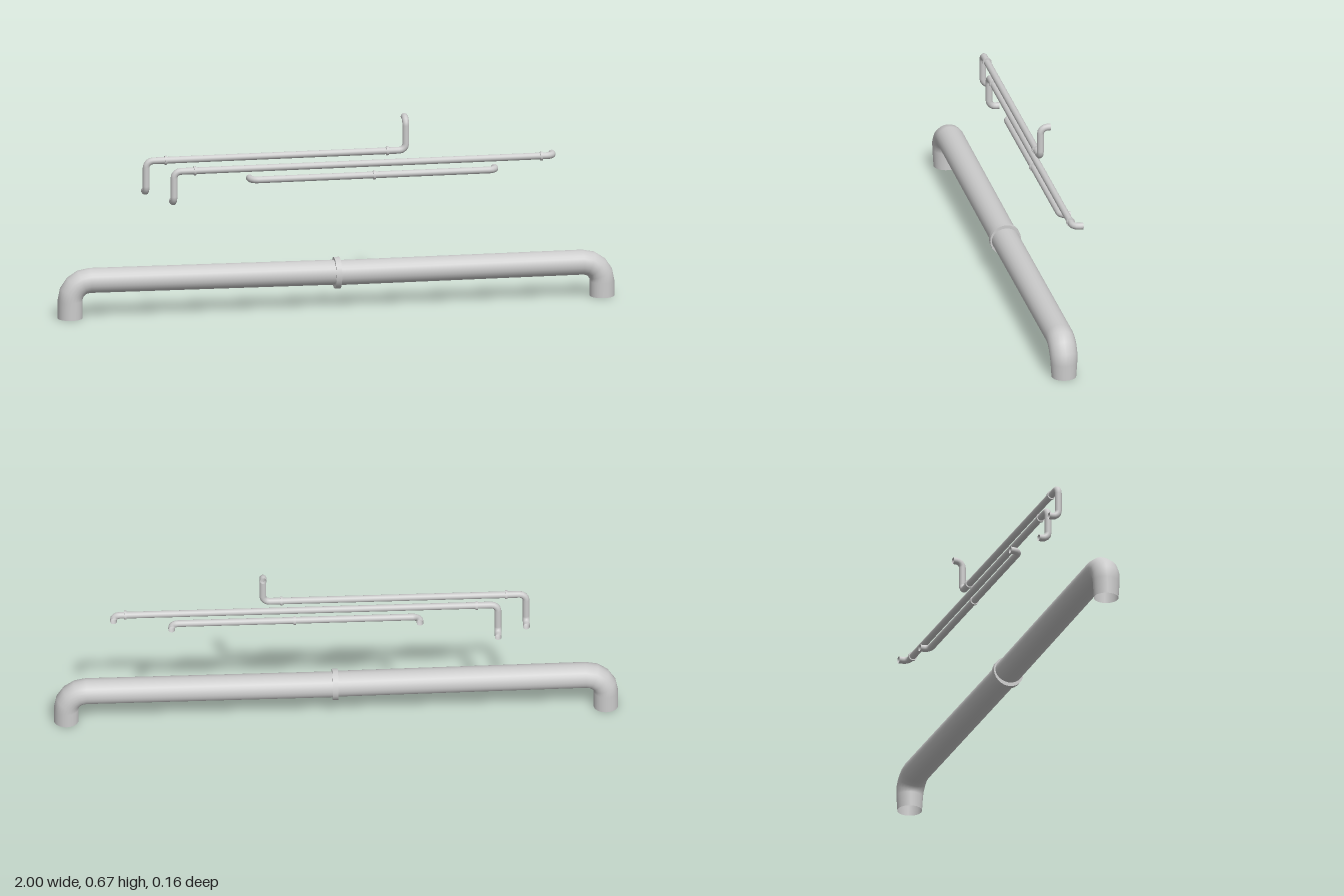
import * as THREE from 'three';

const material = new THREE.MeshStandardMaterial({ color: 0xcccccc, side: THREE.DoubleSide });

// Path of straight runs joined by circular bends, sampled only where it changes
class PipePath extends THREE.Curve {
  constructor(corners, bend, steps) {
    super();
    const p = corners.map((c) => new THREE.Vector3(...c));
    const last = p.length - 1;
    const dir = (i) => p[i + 1].clone().sub(p[i]).normalize();
    this.points = [p[0]];
    this.tangents = [dir(0)];
    for (let i = 1; i < last; i++) {
      const a = dir(i - 1), b = dir(i);
      const angle = a.angleTo(b);
      const cut = bend * Math.tan(angle / 2);
      const start = p[i].clone().addScaledVector(a, -cut);
      const inward = b.clone().addScaledVector(a, -a.dot(b)).normalize();
      for (let k = 0; k <= steps; k++) {
        const t = (angle * k) / steps;
        this.points.push(start.clone()
          .addScaledVector(a, bend * Math.sin(t))
          .addScaledVector(inward, bend * (1 - Math.cos(t))));
        this.tangents.push(a.clone().multiplyScalar(Math.cos(t)).addScaledVector(inward, Math.sin(t)));
      }
    }
    this.points.push(p[last]);
    this.tangents.push(dir(last - 1));
  }
  get segments() { return this.points.length - 1; }
  getPointAt(u) { return this.points[Math.round(u * this.segments)].clone(); }
  getPoint(u) { return this.getPointAt(u); }
  getTangentAt(u) { return this.tangents[Math.round(u * this.segments)].clone(); }
}

function pipe(name, corners, radius, bend, steps, sides) {
  const path = new PipePath(corners, bend, steps);
  const mesh = new THREE.Mesh(new THREE.TubeGeometry(path, path.segments, radius, sides), material);
  mesh.name = name;
  return mesh;
}

// Short sleeve around a pipe running along x
function collar(name, x, y, z, radius, width) {
  const geometry = new THREE.CylinderGeometry(radius, radius, width, 24).rotateZ(Math.PI / 2);
  const mesh = new THREE.Mesh(geometry, material);
  mesh.name = name;
  mesh.position.set(x, y, z);
  return mesh;
}

export function createModel() {
  const model = new THREE.Group();

  // Large pipe: two halves, each with an elbow and a leg that narrows to the floor
  const mainZ = 0.026, mainRadius = 0.044;
  const halves = [
    ['mainPipeRight', [[-0.956, 0, mainZ], [-0.956, 0.135, mainZ], [0, 0.126, mainZ]]],
    ['mainPipeLeft', [[0.956, 0, mainZ], [0.956, 0.124, mainZ], [0, 0.124, mainZ]]],
  ];
  for (const [name, corners] of halves) {
    const half = pipe(name, corners, mainRadius, 0.07, 4, 24);
    const pos = half.geometry.attributes.position;
    for (let i = 0; i < pos.count; i++) {
      const widen = 1 + 0.14 * Math.min(1, Math.max(0, pos.getY(i) / 0.09));
      pos.setZ(i, mainZ + (pos.getZ(i) - mainZ) * widen);
    }
    model.add(half);
  }
  model.add(collar('mainCollar', 0.003, 0.124, mainZ, 0.056, 0.02));

  // Thin pipes: every end turns back towards the wall
  const z = -0.044, back = -0.08;
  const thinPipes = [
    { name: 'upperPipe', y: 0.543, collars: [-0.6, 0.197],
      path: [[-0.67, 0.427, back], [-0.67, 0.427, z], [-0.67, 0.543, z],
        [0.263, 0.543, z], [0.263, 0.657, z], [0.263, 0.657, back]] },
    { name: 'middlePipe', y: 0.5, collars: [-0.495, 0.75],
      path: [[-0.57, 0.385, back], [-0.57, 0.385, z], [-0.57, 0.5, z],
        [0.793, 0.5, z], [0.793, 0.5, back]] },
    { name: 'lowerPipe', y: 0.457, collars: [0.15],
      path: [[-0.293, 0.457, back], [-0.293, 0.457, z], [0.587, 0.457, z], [0.587, 0.457, back]] },
  ];
  for (const { name, y, collars, path } of thinPipes) {
    const group = new THREE.Group();
    group.name = name;
    group.add(pipe(name + 'Tube', path, 0.0122, 0.024, 4, 16));
    for (const x of collars) group.add(collar(name + 'Collar', x, y, z, 0.016, 0.008));
    model.add(group);
  }
  return model;
}
